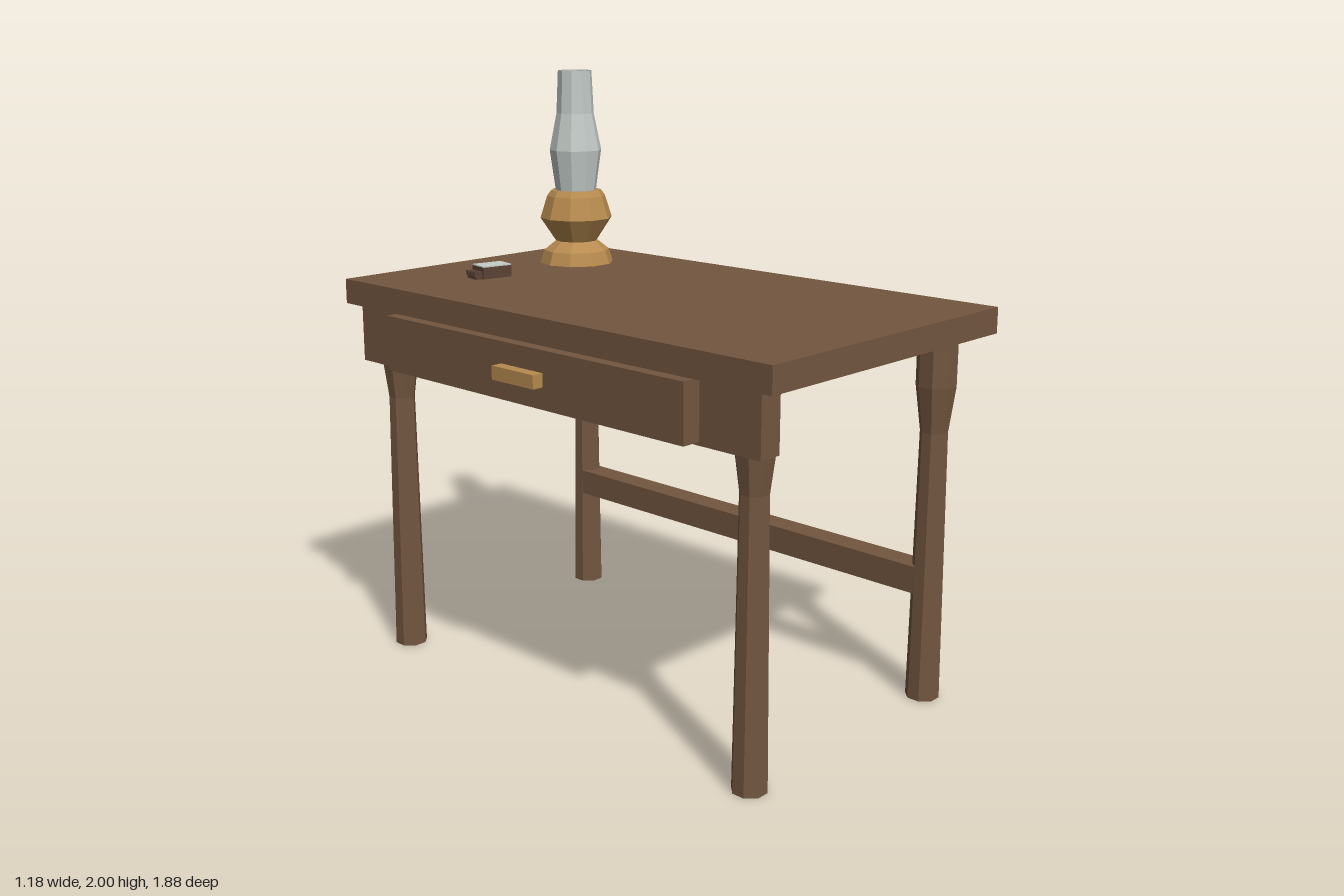
import * as THREE from 'three';

const mat = (name, color, extra = {}) =>
  Object.assign(new THREE.MeshStandardMaterial({ color, flatShading: true, ...extra }), { name });

export function createModel() {
  const group = new THREE.Group();
  const wood = mat('brown wood', 0x735740);
  const brass = mat('brass', 0xb88b50);
  const glass = mat('pale glass', 0xc2cac6, { side: THREE.DoubleSide });
  const dark = mat('dark brown', 0x5a4234);
  const paper = mat('pale paper', 0xc4cec9);

  const add = (name, geometry, material, parent = group) => {
    const mesh = new THREE.Mesh(geometry, material);
    mesh.name = name;
    parent.add(mesh);
    return mesh;
  };
  // box given by its lower and upper limits on each axis
  const box = (name, [x0, x1], [y0, y1], [z0, z1], material, parent) => {
    const mesh = add(name, new THREE.BoxGeometry(x1 - x0, y1 - y0, z1 - z0), material, parent);
    mesh.position.set((x0 + x1) / 2, (y0 + y1) / 2, (z0 + z1) / 2);
    return mesh;
  };
  const lathe = (points, sides, start) =>
    new THREE.LatheGeometry(points.map(([r, y]) => new THREE.Vector2(r, y)), sides, start);

  // table
  box('tabletop', [-0.515, 0.588], [1.232, 1.316], [-0.94, 0.94], wood);
  box('apron', [-0.49, -0.41], [1.037, 1.232], [-0.885, 0.885], wood);
  box('drawer', [-0.555, -0.45], [1.048, 1.232], [-0.663, 0.663], wood);
  box('drawerHandle', [-0.594, -0.555], [1.118, 1.162], [-0.093, 0.093], brass);
  box('stretcher', [0.437, 0.525], [0.365, 0.457], [-0.78, 0.78], wood);

  // eight-sided legs, thicker at the top, with flat faces to the front
  const legShape = lathe(
    [[0, 0], [0.056, 0], [0.045, 0.91], [0.065, 1.06], [0.065, 1.232], [0, 1.232]], 8, Math.PI / 8);
  for (const x of [-0.405, 0.483]) {
    for (const z of [-0.795, 0.795]) {
      add('leg', legShape, wood).position.set(x, 0, z);
    }
  }

  // oil lamp
  const lamp = new THREE.Group();
  lamp.name = 'oilLamp';
  lamp.position.set(0.287, 1.316, -0.637);
  group.add(lamp);
  add('lampBase', lathe(
    [[0, 0], [0.133, 0], [0.118, 0.046], [0.075, 0.08], [0.13, 0.163], [0.105, 0.242],
      [0.09, 0.262], [0, 0.262]], 10, Math.PI / 2), brass, lamp);
  add('lampChimney', lathe(
    [[0.073, 0.262], [0.093, 0.405], [0.067, 0.535], [0.06, 0.684]], 10, Math.PI / 2), glass, lamp);
  box('wick', [-0.02, 0.02], [0.26, 0.3], [-0.007, 0.007], dark, lamp);

  // matchbox with matches poking out of one end
  const matchbox = new THREE.Group();
  matchbox.name = 'matchbox';
  matchbox.position.set(-0.137, 1.316, -0.615);
  matchbox.rotation.y = -0.19;
  group.add(matchbox);
  box('matchboxSleeve', [-0.055, 0.055], [0, 0.04], [-0.037, 0.037], dark, matchbox);
  box('matchboxLabel', [-0.055, 0.055], [0.04, 0.044], [-0.037, 0.037], paper, matchbox);
  for (const z of [-0.022, 0, 0.022]) {
    box('match', [-0.085, -0.05], [0.012, 0.026], [z - 0.007, z + 0.007], dark, matchbox);
  }
  box('matchboxTray', [-0.08, -0.05], [0, 0.012], [-0.03, 0.03], dark, matchbox);

  return group;
}
